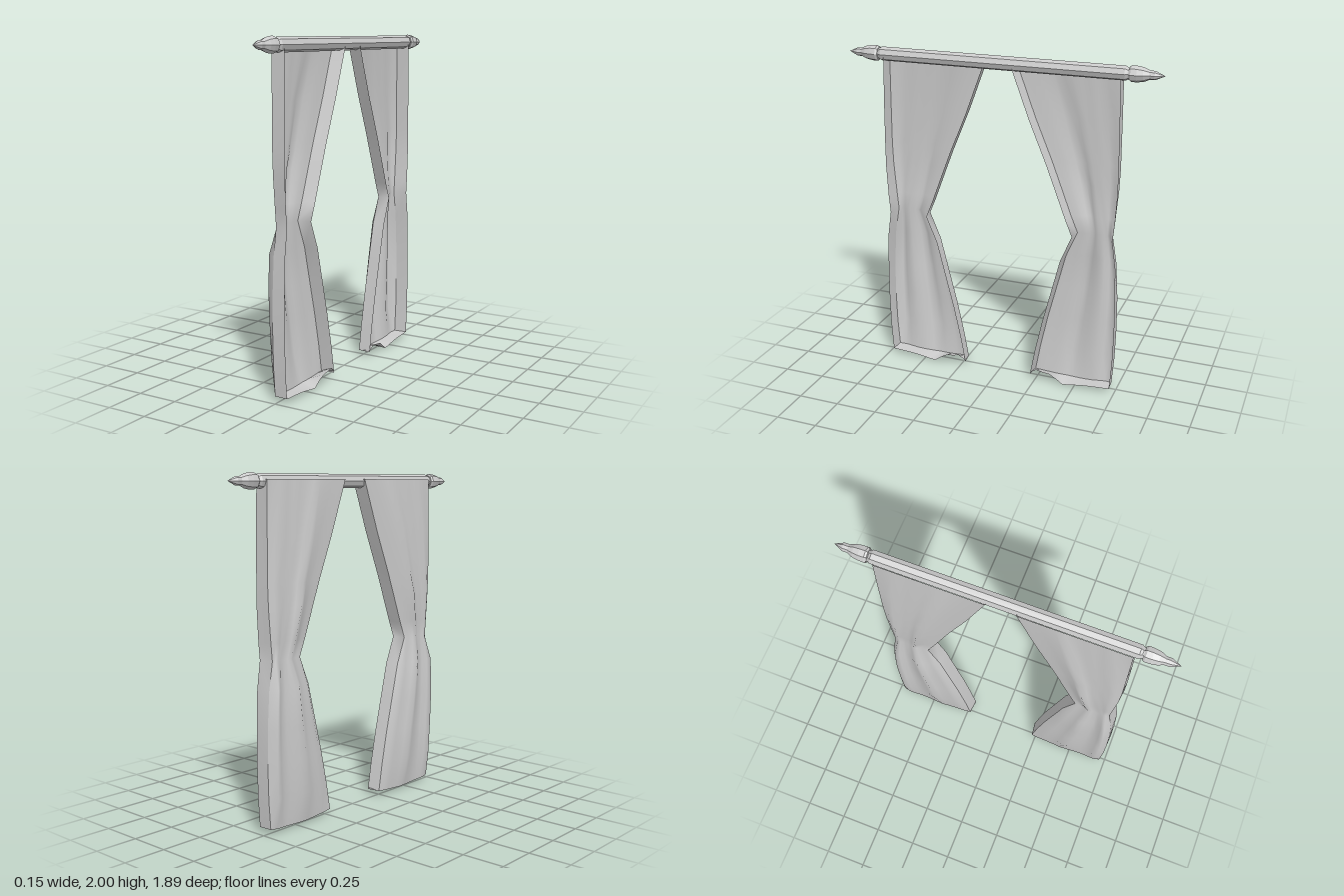
import * as THREE from 'three';

const material = new THREE.MeshStandardMaterial({ color: 0xcccccc, side: THREE.DoubleSide });
const rodMaterial = new THREE.MeshStandardMaterial({ color: 0xcccccc, flatShading: true });

const BACK = -0.022, FRONT = 0.06;

// Curtain rows from top to hem: height, outer z, inner z, depth of the folds, flare of the outer edge
const ROWS = [
  [1.965, 0.708, 0.085, 0, 0], [1.65, 0.712, 0.203, 0.036, 0.004], [1.4, 0.714, 0.308, 0.038, 0.006],
  [1.27, 0.71, 0.358, 0.05, 0.01], [1.08, 0.695, 0.43, 0.036, 0.016], [0.98, 0.686, 0.472, 0.018, 0.016],
  [0.82, 0.713, 0.405, 0.057, 0.012], [0.6, 0.728, 0.35, 0.057, 0.005], [0.4, 0.731, 0.3, 0.051, 0.004],
  [0.2, 0.727, 0.257, 0.045, 0.004], [0.03, 0.715, 0.227, 0.01, 0.005],
];
// Fold profiles from the outer edge to the inner edge, above and below the waist
const UPPER_FOLDS = [0, 0.4, 0.6, 0.35, 0.5, 0.4, 0.6, 1, 0.7, 0.4, 0.2, 0.1, 0];
const LOWER_FOLDS = [0, 0.85, 0.65, 0.3, 0.35, 0.5, 0.8, 1, 0.7, 0.5, 0.45, 0.35, 0];
const WAIST = 0.98;
// Height of the curled front hem from the outer to the inner edge
const HEM = [0.03, 0.027, 0.025, 0.022, 0.018, 0.012, 0.005, 0, 0.03, 0.058, 0.062, 0.072, 0.04];

// Surface through a list of equally long point rows
function sheet(rows) {
  const n = rows[0].length, index = [];
  for (let r = 0; r < rows.length - 1; r++) {
    for (let c = 0; c < n - 1; c++) {
      const a = r * n + c, b = a + n;
      index.push(a, b, a + 1, a + 1, b, b + 1);
    }
  }
  const geometry = new THREE.BufferGeometry();
  geometry.setAttribute('position', new THREE.Float32BufferAttribute(rows.flat(2), 3));
  geometry.setIndex(index);
  geometry.computeVertexNormals();
  return geometry;
}

function add(group, name, geometry, mat = material) {
  const mesh = new THREE.Mesh(geometry, mat);
  mesh.name = name;
  group.add(mesh);
}

function createCurtain(side) {
  const curtain = new THREE.Group();
  const last = HEM.length - 1;

  // Draped cloth, gathered at the waist
  const cloth = ROWS.map(([y, outer, inner, depth], r) => {
    const folds = y >= WAIST ? UPPER_FOLDS : LOWER_FOLDS;
    return folds.map((fold, c) => {
      const u = c / last;
      const sag = r === ROWS.length - 1 ? 0.013 * Math.sin(Math.PI * u) : 0;
      return [BACK - depth * fold, y - sag, side * THREE.MathUtils.lerp(outer, inner, u)];
    });
  });
  add(curtain, 'cloth', sheet(cloth));

  // Turned edges along both sides
  const edge = (name, column, flare) => add(curtain, name, sheet(cloth.map((row, r) => {
    const [x, y, z] = row[column];
    return [[x, y, z], [FRONT, y, z + side * flare(r)]];
  })));
  edge('outerEdge', 0, (r) => ROWS[r][4]);
  edge('innerEdge', last, () => -0.01);

  // Turned, curling hem
  const hemBack = cloth[cloth.length - 1];
  const hemFront = hemBack.map(([, , z], c) => [
    FRONT + (c > 8 && c < last ? 0.007 : 0), HEM[c],
    z + side * THREE.MathUtils.lerp(0.005, -0.01, c / last),
  ]);
  add(curtain, 'hem', sheet([hemBack, hemFront]));
  return curtain;
}

// Eight-sided turned part lying along z
function turned(profile, direction) {
  const points = profile.map(([r, z]) => new THREE.Vector2(r, z));
  return new THREE.LatheGeometry(points, 8).rotateX(direction * Math.PI / 2);
}

export function createModel() {
  const model = new THREE.Group();
  model.name = 'curtains';

  // Rod with a pointed finial at each end
  const rod = new THREE.Group();
  rod.name = 'curtainRod';
  rod.position.set(0.025, 1.954, 0);
  model.add(rod);
  add(rod, 'pole', turned([
    [0, -0.755], [0.032, -0.755], [0.032, -0.745], [0.041, -0.73],
    [0.041, 0.73], [0.032, 0.745], [0.032, 0.755], [0, 0.755],
  ], 1), rodMaterial);
  for (const side of [1, -1]) {
    add(rod, side > 0 ? 'leftFinial' : 'rightFinial', turned([
      [0, 0.75], [0.038, 0.75], [0.046, 0.762], [0.045, 0.795], [0.039, 0.83],
      [0.025, 0.862], [0.025, 0.89], [0, 0.945],
    ], side), rodMaterial);
  }

  // Mirrored pair of curtains
  for (const side of [1, -1]) {
    const curtain = createCurtain(side);
    curtain.name = side > 0 ? 'leftCurtain' : 'rightCurtain';
    model.add(curtain);
  }
  return model;
}
